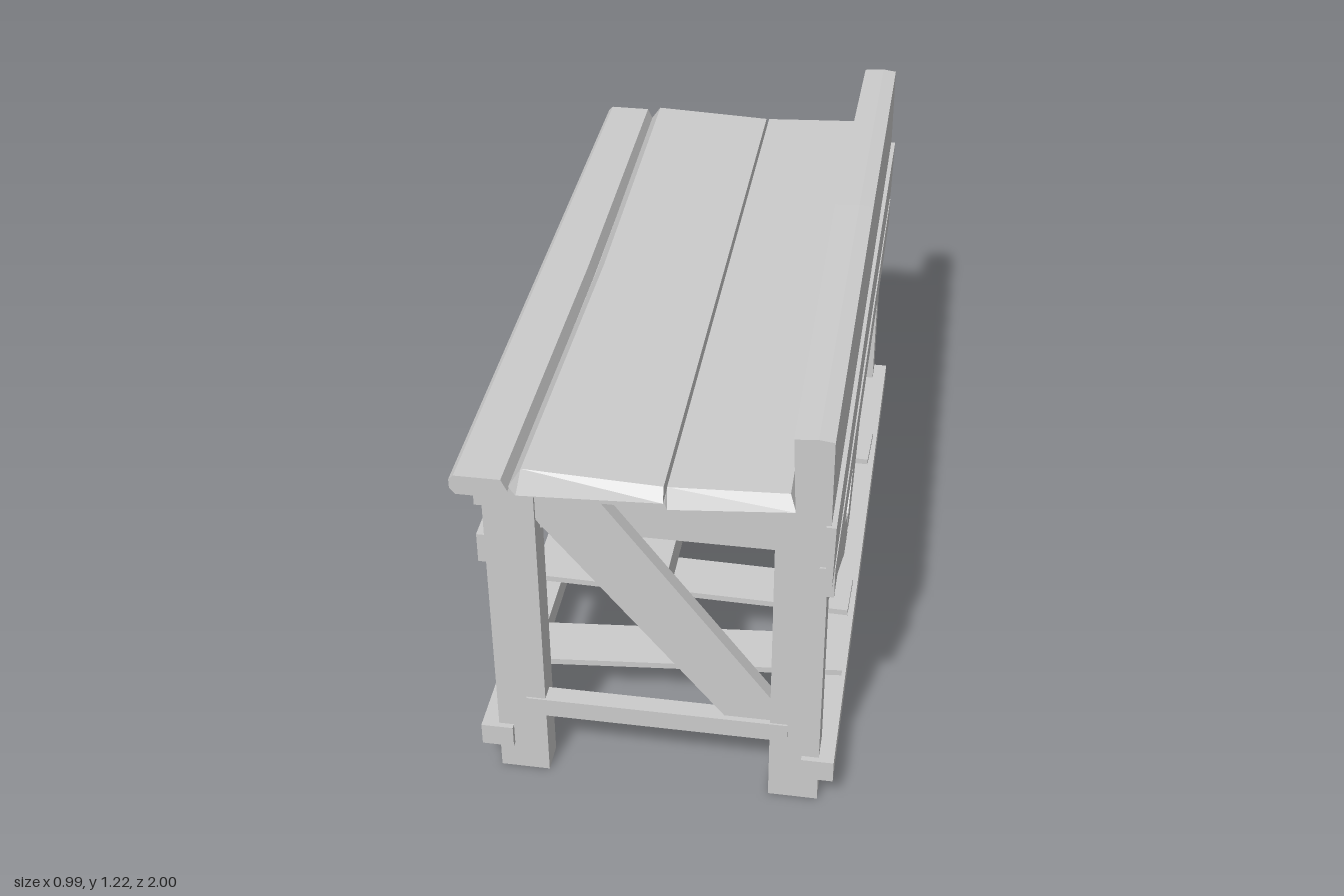
import * as THREE from 'three';

const material = new THREE.MeshStandardMaterial({ color: 0xcccccc, flatShading: true, side: THREE.DoubleSide });
const smooth = new THREE.MeshStandardMaterial({ color: 0xcccccc, side: THREE.DoubleSide });

export function createModel() {
  const group = new THREE.Group();

  const add = (name, geometry, mat = material) => {
    const mesh = new THREE.Mesh(geometry, mat);
    mesh.name = name;
    group.add(mesh);
    return mesh;
  };

  // Box given by its limits on each axis
  const box = (name, x0, x1, y0, y1, z0, z1) => {
    const mesh = add(name, new THREE.BoxGeometry(x1 - x0, y1 - y0, z1 - z0));
    mesh.position.set((x0 + x1) / 2, (y0 + y1) / 2, (z0 + z1) / 2);
    return mesh;
  };

  // Outline in x and y, extruded from z0 to z1
  const prism = (points, z0, z1, steps = 1) => {
    const shape = new THREE.Shape(points.map(([x, y]) => new THREE.Vector2(x, y)));
    return new THREE.ExtrudeGeometry(shape, { depth: z1 - z0, steps, bevelEnabled: false }).translate(0, 0, z0);
  };

  // Long board whose vertices are shifted by a rule to look hand cut
  const board = (name, points, z0, z1, rule) => {
    const geometry = prism(points, z0, z1, 2);
    const p = geometry.attributes.position;
    const v = new THREE.Vector3();
    for (let i = 0; i < p.count; i++) {
      v.fromBufferAttribute(p, i);
      rule(v);
      p.setXYZ(i, v.x, v.y, v.z);
    }
    geometry.computeVertexNormals();
    return add(name, geometry);
  };

  // Legs
  for (const [x0, x1] of [[-0.4, -0.27], [0.32, 0.45]]) {
    for (const [z0, z1] of [[-0.95, -0.87], [0.84, 0.92]]) box('leg', x0, x1, 0, 0.97, z0, z1);
  }

  // Lower stretchers and upper side rails
  box('lowerStretcher', -0.445, -0.36, 0.085, 0.15, -0.95, 0.935);
  box('lowerStretcher', 0.405, 0.49, 0.085, 0.15, -0.95, 0.935);
  box('upperRail', -0.42, -0.38, 0.7, 0.785, -0.95, 0.92);
  box('upperRail', 0.43, 0.468, 0.7, 0.787, -0.95, 0.925);

  // Beam down the middle, between the end braces
  box('centreBeam', -0.06, 0.05, 0.6, 0.685, -0.89, 0.86);

  // End frames: rail, apron and diagonal brace
  const endBrace = [[-0.27, 0.84], [0.2, 0.255], [0.32, 0.255], [0.32, 0.33], [-0.15, 0.97], [-0.27, 0.97]];
  for (const [outer, dir] of [[0.92, -1], [-0.95, 1]]) {
    const span = (a, b) => [outer + dir * a, outer + dir * b].sort((m, n) => m - n);
    box('endRail', -0.32, 0.366, 0.2, 0.255, ...span(-0.005, 0.045));
    box('endApron', -0.3, 0.36, 0.785, 0.97, ...span(0.05, 0.078));
    add('endBrace', prism(endBrace, ...span(0.01, 0.05)));
  }

  // V-shaped braces on the tall-board side
  const sideBrace = [[0.85, 0.57], [0.85, 0.748], [0.007, 0.227], [0.007, 0.15], [0.09, 0.15]];
  for (const s of [1, -1]) {
    const g = prism(sideBrace.map(([z, y]) => [z * s - 0.013, y]), 0, 0.07);
    add('sideBrace', g.rotateY(-Math.PI / 2).translate(0.44, 0, 0));
  }

  // Loose shelf slats, each slightly askew
  for (const [z, skew] of [[0.568, 0.085], [0.265, -0.02], [-0.468, -0.03]]) {
    const slat = box('shelfSlat', -0.43, 0.475, 0.15, 0.168, z - 0.075, z + 0.075);
    slat.rotation.y = Math.atan2(skew, 0.9);
  }

  // Drawers with half-dome cup pulls
  for (let i = 0; i < 4; i++) {
    const z = -0.635 + i * 0.412;
    box('drawer', -0.455, 0.31, 0.785, 0.968, z - 0.204, z + 0.204);
    const pull = add('drawerPull', new THREE.SphereGeometry(1, 16, 8, 0, Math.PI * 2, 0, Math.PI / 2), smooth);
    const base = add('drawerPullBase', new THREE.CircleGeometry(1, 16).rotateX(Math.PI / 2));
    for (const part of [pull, base]) {
      part.scale.set(0.042, 0.04, 0.048);
      part.position.set(-0.455, 0.866, z);
    }
  }

  // Worktop boards with worn edges
  board('edgeBoard', [[-0.438, 0.968], [-0.322, 0.968], [-0.31, 0.99], [-0.325, 1.022], [-0.44, 1.022],
    [-0.452, 1.01], [-0.452, 0.985]], -1, 1, (v) => {
    if (Math.abs(v.z) < 0.1 && v.x > -0.35) v.x += 0.008;
  });
  const chamferEnd = (v) => {
    if (v.z > 0.9 && v.y > 1) v.z -= 0.025;
    if (Math.abs(v.z) < 0.1 && v.x < -0.2) v.x += 0.012;
    if (Math.abs(v.z) < 0.1 && v.x > 0.2) v.x -= 0.012;
  };
  board('topBoard', [[-0.295, 0.968], [0.054, 0.968], [0.06, 0.985], [0.058, 1.016], [-0.285, 1.03],
    [-0.312, 0.992]], -1, 0.985, chamferEnd);
  board('topBoard', [[0.07, 0.968], [0.366, 0.968], [0.374, 0.995], [0.358, 1.03], [0.066, 1.016],
    [0.064, 0.985]], -1, 0.985, chamferEnd);

  // Tall backboard, with a slightly peaked top, and the board beneath it
  board('backboard', [[0.374, 0.97], [0.458, 0.97], [0.458, 1.207], [0.42, 1.212], [0.364, 1.207]], -1, 0.99, (v) => {
    if (Math.abs(v.z) < 0.1 && v.y > 1.2) {
      v.z = -0.1;
      v.y += 0.012;
    }
    if (Math.abs(v.z) < 0.2 && v.x < 0.4) v.x -= 0.01;
  });
  board('apronBoard', [[0.452, 0.783], [0.466, 0.783], [0.47, 0.964], [0.446, 0.964]], -1, 0.99, (v) => {
    if (Math.abs(v.z) < 0.1) v.x -= 0.003;
  });

  return group;
}
